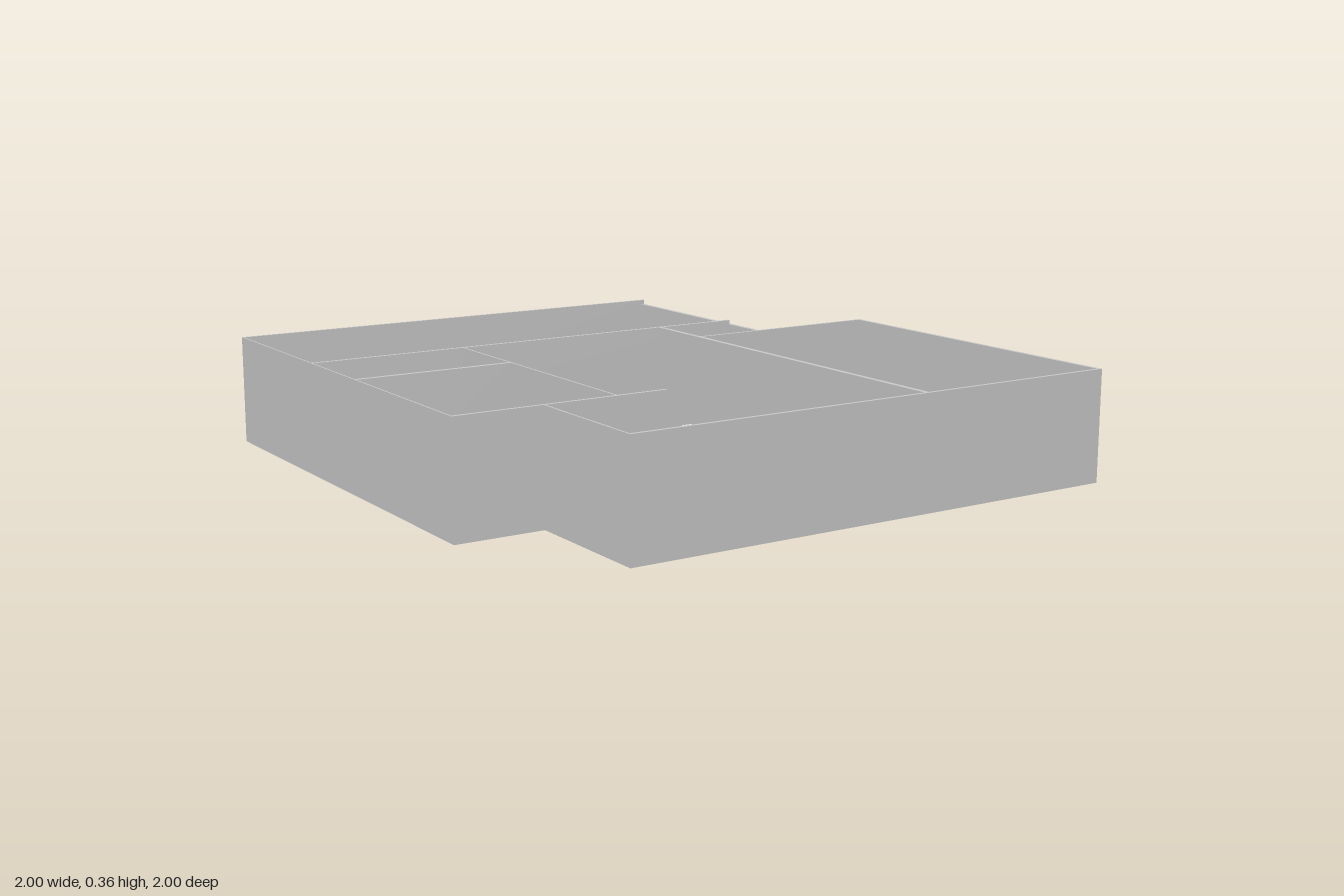
import * as THREE from 'three';

const HEIGHT = 0.36;
const DOOR = 0.183;

// Upright wall outline from a to b, notched at the foot by door openings [start, end, height]
function wallShape(a, b, height, doors) {
  const s = new THREE.Shape();
  s.moveTo(a, 0);
  for (const [d0, d1, h = DOOR] of doors) {
    s.lineTo(d0, 0);
    s.lineTo(d0, h);
    s.lineTo(d1, h);
    s.lineTo(d1, 0);
  }
  s.lineTo(b, 0);
  s.lineTo(b, height);
  s.lineTo(a, height);
  s.closePath();
  return s;
}

export function createModel() {
  const model = new THREE.Group();
  model.name = 'floorPlanWalls';
  const material = new THREE.MeshStandardMaterial({ color: 0xcccccc, flatShading: true });

  function add(name, geometry) {
    const mesh = new THREE.Mesh(geometry, material);
    mesh.name = name;
    model.add(mesh);
  }

  // Wall running along x, filling z0..z1
  function wallX(name, x0, x1, z0, z1, doors = [], height = HEIGHT) {
    const g = new THREE.ExtrudeGeometry(wallShape(x0, x1, height, doors), { depth: z1 - z0, bevelEnabled: false });
    add(name, g.translate(0, 0, z0));
  }

  // Wall running along z, filling x0..x1 (outline is drawn along -z, then turned)
  function wallZ(name, z0, z1, x0, x1, doors = [], height = HEIGHT) {
    const flipped = doors.map(([a, b, h]) => [-b, -a, h]).reverse();
    const g = new THREE.ExtrudeGeometry(wallShape(-z1, -z0, height, flipped), { depth: x1 - x0, bevelEnabled: false });
    add(name, g.rotateY(Math.PI / 2).translate(x0, 0, 0));
  }

  // Outer walls
  wallX('backWall', -1, 0.608, -1, -0.99);
  wallX('frontWall', -0.714, 1, 0.989, 1);
  wallZ('rightOuterWall', -0.99, 0.539, -1, -0.995);
  wallZ('rightFrontWall', 0.55, 0.989, -0.714, -0.708);
  wallZ('leftOuterWall', -0.161, 0.989, 0.988, 1);
  wallZ('leftBackWall', -0.99, -0.172, 0.594, 0.608, [], 0.345);
  wallX('leftRoomBackWall', 0.31, 1, -0.172, -0.161);
  wallX('rightRoomFrontWall', -1, -0.3, 0.539, 0.55);

  // Inner walls with doorways
  wallX('backRoomPartition', -0.995, 0.594, -0.418, -0.405, [[-0.73, -0.642], [-0.115, -0.027]]);
  wallZ('leftRoomPartition', -0.405, 0.989, 0.294, 0.31, [[-0.283, -0.197], [0.335, 0.42]]);
  wallZ('rightRoomPartition', -0.405, 0.539, -0.472, -0.466);
  wallX('smallRoomPartition', -0.995, -0.472, -0.092, -0.077, [[-0.64, -0.475, 0.233]]);

  return model;
}
